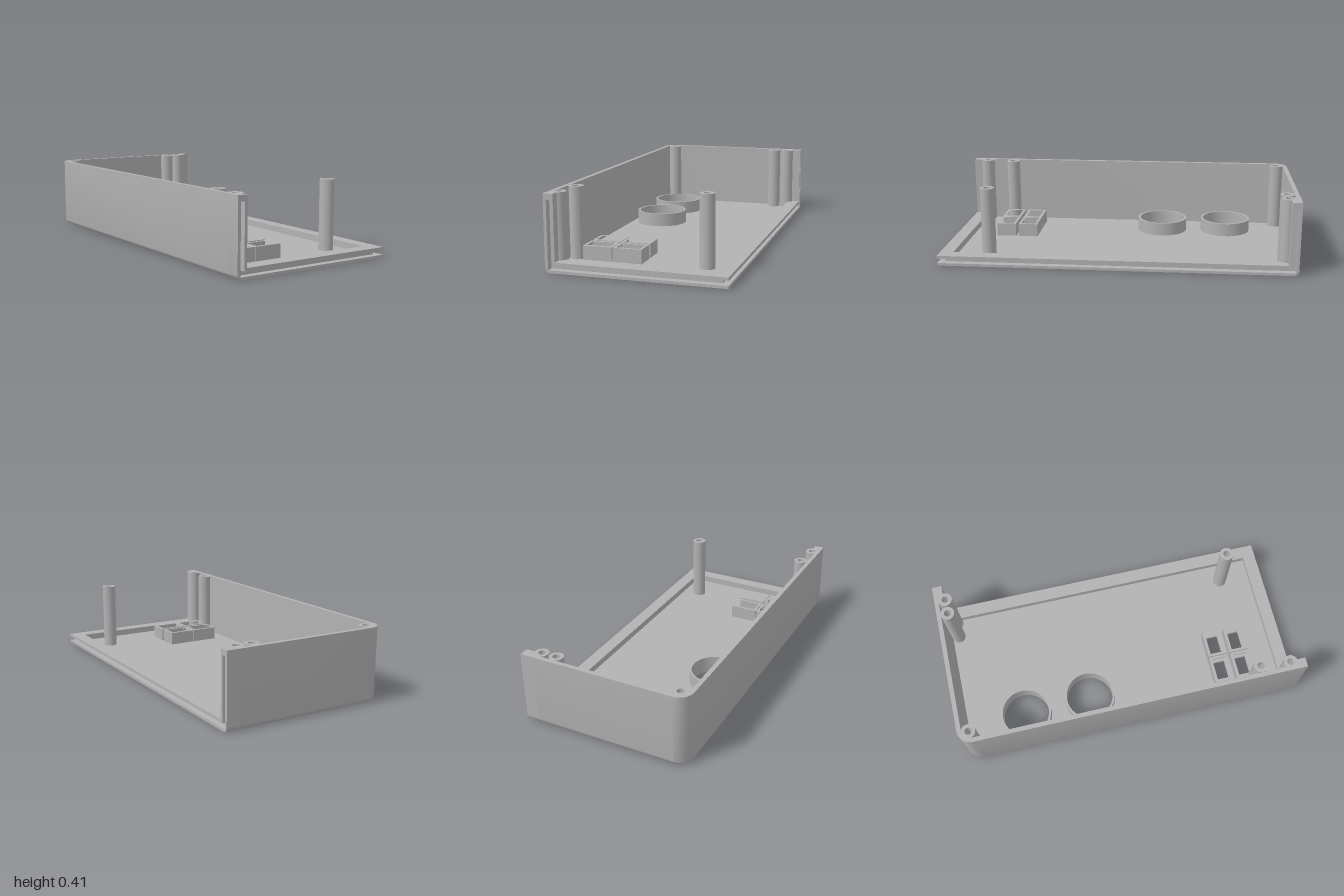
import * as THREE from 'three';
import { toCreasedNormals } from 'three/addons/utils/BufferGeometryUtils.js';

const X = 0.48, H = 0.41, FLOOR = 0.02, EDGE = 0.03, RIM = 0.075, GROOVE = 0.038;

function circle(Type, x, z, r) {
  const s = new Type();
  s.absarc(x, -z, r, 0, Math.PI * 2, false);
  return s;
}

function rect(Type, x0, x1, z0, z1) {
  const s = new Type();
  s.moveTo(x0, -z0);
  s.lineTo(x1, -z0);
  s.lineTo(x1, -z1);
  s.lineTo(x0, -z1);
  s.closePath();
  return s;
}

function extrude(shape, depth) {
  return new THREE.ExtrudeGeometry(shape, { depth, bevelEnabled: false, curveSegments: 24 });
}

// Plan shape raised from y0 to y1
function slab(shape, y0, y1) {
  return extrude(shape, y1 - y0).rotateX(-Math.PI / 2).translate(0, y0, 0);
}

// Section of an open edge: wall flange plus floor rim, optionally grooved
function edgeSection(length, grooved) {
  const s = new THREE.Shape();
  s.moveTo(EDGE, 0);
  s.lineTo(length, 0);
  if (grooved) {
    s.lineTo(length, 0.015);
    s.lineTo(0.017, 0.015);
    s.lineTo(0.017, 0.378);
    s.lineTo(0.04, 0.378);
    s.lineTo(0.04, 0.04);
    s.lineTo(length, 0.04);
  }
  s.lineTo(length, 0.057);
  s.lineTo(0.055, 0.057);
  s.lineTo(0.055, H);
  s.lineTo(0, H);
  s.lineTo(0, EDGE);
  s.absarc(EDGE, EDGE, EDGE, Math.PI, Math.PI * 1.5, false);
  return s;
}

// Wall section swept along the side, round the corner and along the back
function wallGeometry() {
  const section = [];
  for (let i = 0; i <= 6; i++) {
    const t = (i / 6) * Math.PI / 2;
    section.push([EDGE * (1 - Math.sin(t)), EDGE * (1 - Math.cos(t))]);
  }
  section.push([0, H], [0.025, H], [0.025, FLOOR], [EDGE, FLOOR]);

  const r = 0.08, path = [[-X, 1 - RIM, -1, 0]];
  for (let i = 0; i <= 12; i++) {
    const t = (i / 12) * Math.PI / 2, nx = -Math.cos(t), nz = -Math.sin(t);
    path.push([-X + r + nx * r, -1 + r + nz * r, nx, nz]);
  }
  path.push([X - RIM, -1, 0, -1]);

  const pos = [], index = [], n = section.length;
  for (const [x, z, nx, nz] of path)
    for (const [d, y] of section) pos.push(x - nx * d, y, z - nz * d);
  for (let i = 0; i < path.length - 1; i++)
    for (let j = 0; j < n; j++) {
      const a = i * n + j, d = i * n + (j + 1) % n, b = a + n, c = d + n;
      index.push(a, d, c, a, c, b);
    }
  const g = new THREE.BufferGeometry();
  g.setAttribute('position', new THREE.Float32BufferAttribute(pos, 3));
  g.setIndex(index);
  return g;
}

export function createModel() {
  const model = new THREE.Group();
  model.name = 'enclosureHalf';
  const grey = new THREE.MeshStandardMaterial({ color: 0xb2b2b2 });
  grey.name = 'grey plastic';
  const add = (name, geometry) => {
    const mesh = new THREE.Mesh(toCreasedNormals(geometry, 0.6), grey);
    mesh.name = name;
    model.add(mesh);
  };

  const rings = [[-0.294, -0.622], [-0.275, -0.23]];
  const windows = [];
  for (const x of [-0.37, -0.204])
    for (const z of [0.527, 0.66]) windows.push([x, x + 0.162, z, z + 0.116]);
  const inset = ([x0, x1, z0, z1], d) => [x0 + d, x1 - d, z0 + d, z1 - d];

  // Floor with round and rectangular openings
  const floor = new THREE.Shape();
  const fx = -X + EDGE, fz = 1 - EDGE;
  floor.moveTo(fx, -(1 - RIM));
  floor.lineTo(X - RIM, -(1 - RIM));
  floor.lineTo(X - RIM, fz);
  floor.lineTo(fx + 0.05, fz);
  floor.absarc(fx + 0.05, fz - 0.05, 0.05, Math.PI / 2, Math.PI, false);
  floor.closePath();
  for (const [x, z] of rings) floor.holes.push(circle(THREE.Path, x, z, 0.137));
  for (const w of windows) floor.holes.push(rect(THREE.Path, ...inset(w, 0.016)));
  add('floor', slab(floor, 0, FLOOR));

  add('outerWall', wallGeometry());

  // Open front and side edges: grooved outer layer, solid inner layer
  const layers = [
    ['GroovedEdge', 0, GROOVE, X * 2, 2 - GROOVE, true],
    ['InnerRim', GROOVE, RIM, X * 2 - GROOVE, 2 - RIM, false],
  ];
  for (const [name, d0, d1, frontLength, sideLength, grooved] of layers) {
    add('front' + name, extrude(edgeSection(frontLength, grooved), d1 - d0)
      .translate(-X, 0, 1 - d1));
    add('side' + name, extrude(edgeSection(sideLength, grooved), d1 - d0)
      .rotateY(-Math.PI / 2).translate(X - d0, 0, -1));
  }

  // Collars around the round openings
  for (const [x, z] of rings) {
    const s = circle(THREE.Shape, x, z, 0.15);
    s.holes.push(circle(THREE.Path, x, z, 0.137));
    add('roundCollar', slab(s, FLOOR, 0.097));
  }

  // Frames around the rectangular openings
  for (const w of windows) {
    const s = rect(THREE.Shape, ...w);
    s.holes.push(rect(THREE.Path, ...inset(w, 0.016)));
    add('buttonFrame', slab(s, FLOOR, 0.097));
  }

  // Hollow screw posts
  const posts = [[-0.415, -0.937], [0.302, -0.937], [0.39, -0.937],
    [-0.415, 0.742], [0.302, 0.742], [-0.432, 0.913]];
  for (const [x, z] of posts) {
    const s = circle(THREE.Shape, x, z, 0.04);
    s.holes.push(circle(THREE.Path, x, z, 0.02));
    add('screwPost', slab(s, FLOOR, H));
  }
  return model;
}
